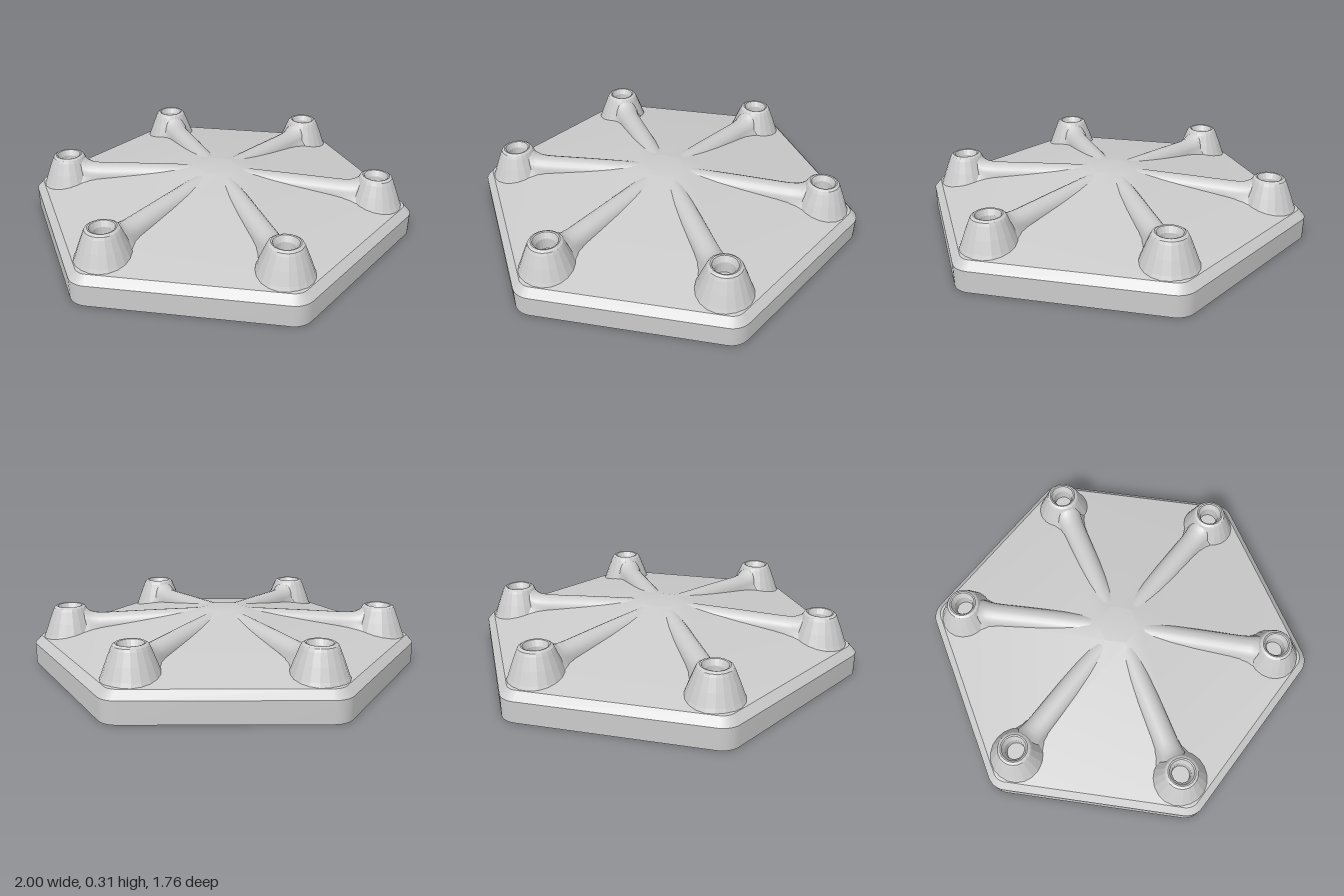
import * as THREE from 'three';
import { toCreasedNormals } from 'three/addons/utils/BufferGeometryUtils.js';

// Skin a list of closed rings (arrays of [x, y, z]) with quads
function loft(rings, crease) {
  const n = rings[0].length, index = [];
  for (let r = 0; r < rings.length - 1; r++) {
    for (let i = 0; i < n; i++) {
      const a = r * n + i, b = r * n + (i + 1) % n;
      index.push(a, b, b + n, a, b + n, a + n);
    }
  }
  const geo = new THREE.BufferGeometry();
  geo.setAttribute('position', new THREE.Float32BufferAttribute(rings.flat(2), 3));
  geo.setIndex(index);
  return toCreasedNormals(geo, crease);
}

// Hexagon with rounded corners pointing along x
function hexRing(apothem, round, y) {
  const pts = [], centre = (apothem - round) / Math.cos(Math.PI / 6), steps = 6;
  for (let c = 0; c < 6; c++) {
    const corner = c * Math.PI / 3;
    for (let s = 0; s <= steps; s++) {
      const a = corner + (s / steps - 0.5) * Math.PI / 3;
      pts.push([
        centre * Math.cos(corner) + round * Math.cos(a),
        y,
        -centre * Math.sin(corner) - round * Math.sin(a),
      ]);
    }
  }
  return pts;
}

// Rib section: rounded crown on a skirt that flares at the foot
function ribRing(x, halfWidth, top, foot) {
  const pts = [[x, 0.13, -foot]], steps = 10;
  for (let s = 0; s <= steps; s++) {
    const a = s / steps * Math.PI;
    pts.push([x, top - halfWidth + halfWidth * Math.sin(a), -halfWidth * Math.cos(a)]);
  }
  pts.push([x, 0.13, foot]);
  return pts;
}

export function createModel() {
  const model = new THREE.Group();
  const grey = new THREE.MeshStandardMaterial({ color: 0xcccccc });
  const faceted = new THREE.MeshStandardMaterial({ color: 0xcccccc, flatShading: true });

  function add(parent, name, geometry, material = grey) {
    const mesh = new THREE.Mesh(geometry, material);
    mesh.name = name;
    parent.add(mesh);
    return mesh;
  }

  // Slab with bevelled rim and a shallow roof rising to a small flat hexagon
  add(model, 'hexBase', loft([
    hexRing(0, 0, 0),
    hexRing(0.88, 0.1, 0),
    hexRing(0.88, 0.1, 0.107),
    hexRing(0.845, 0.07, 0.145),
    hexRing(0.093, 0.001, 0.294),
    hexRing(0, 0, 0.294),
  ], 0.18));

  // Tapered post with a blind hole
  const postGeo = new THREE.LatheGeometry([
    [0.143, 0.14], [0.132, 0.165], [0.11, 0.225], [0.087, 0.283], [0.08, 0.297],
    [0.067, 0.305], [0.06, 0.303], [0.046, 0.275], [0.044, 0.22], [0, 0.22],
  ].map(([r, y]) => new THREE.Vector2(r, y)), 20);

  // Rib sinking into the roof towards the middle and flaring into its post
  const ribGeo = loft([
    [0.1, 0.055, 0.291, 0.055],
    [0.4, 0.057, 0.277, 0.057],
    [0.6, 0.059, 0.266, 0.062],
    [0.65, 0.06, 0.264, 0.085],
    [0.69, 0.063, 0.267, 0.11],
    [0.715, 0.066, 0.277, 0.12],
    [0.738, 0.05, 0.297, 0.12],
  ].map((s) => ribRing(...s)), 0.6);

  for (let i = 0; i < 6; i++) {
    const arm = new THREE.Group();
    arm.name = 'arm' + (i + 1);
    arm.rotation.y = i * Math.PI / 3;
    add(arm, 'post', postGeo, faceted).position.x = 0.81;
    add(arm, 'rib', ribGeo);
    model.add(arm);
  }
  return model;
}
